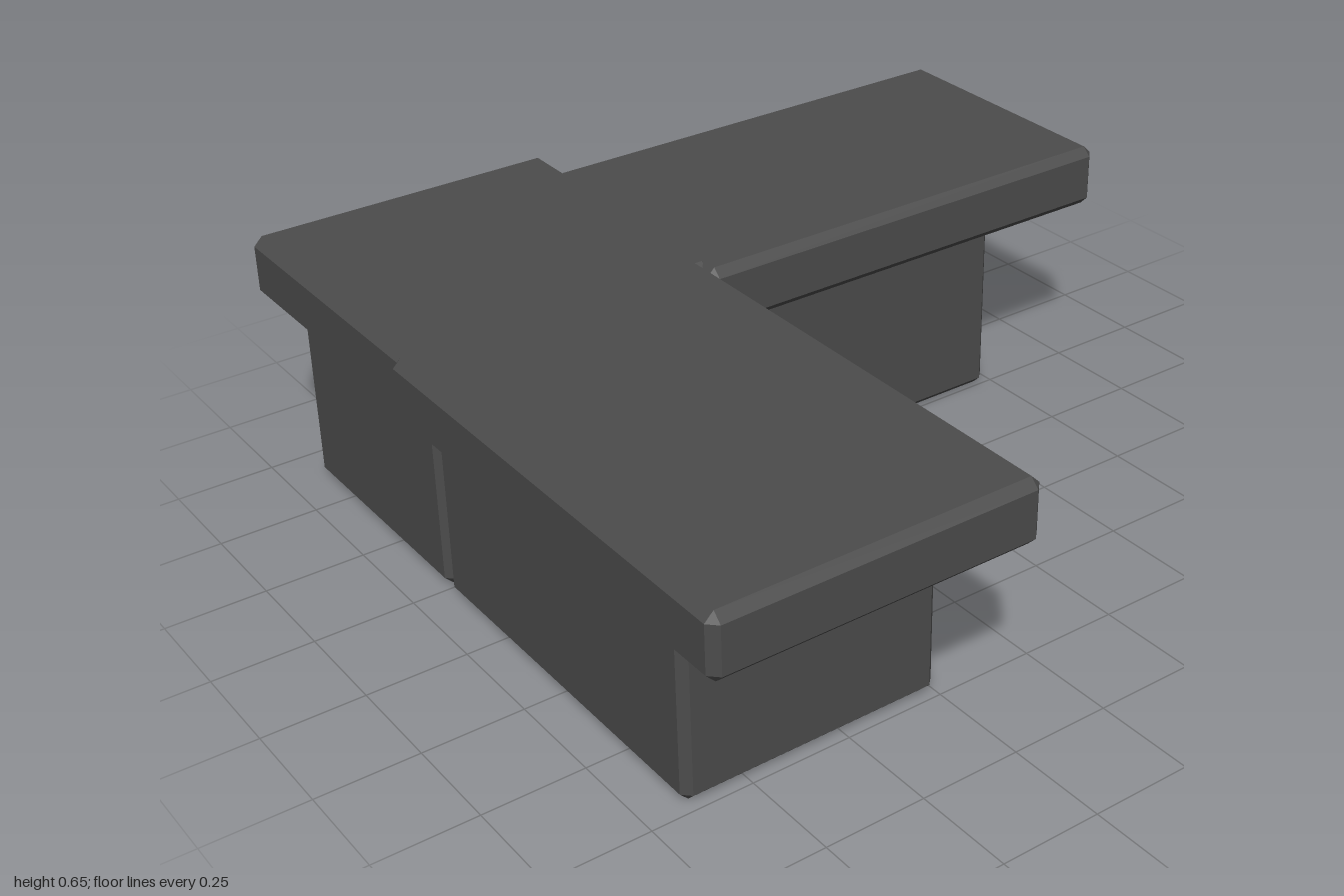
import * as THREE from 'three';
import { ConvexGeometry } from 'three/addons/geometries/ConvexGeometry.js';

const material = (name, color) => {
  const m = new THREE.MeshStandardMaterial({ color });
  m.name = name;
  return m;
};

// Box with every edge chamfered, given by its minimum and maximum corners
function chamferedBox(min, max, c) {
  const points = [];
  for (const i of [0, 1]) for (const j of [0, 1]) for (const k of [0, 1]) {
    const side = [i, j, k];
    for (let flush = 0; flush < 3; flush++) {
      points.push(new THREE.Vector3(...side.map((s, axis) => {
        const inset = axis === flush ? 0 : c;
        return s ? max[axis] - inset : min[axis] + inset;
      })));
    }
  }
  return new ConvexGeometry(points);
}

export function createModel() {
  const model = new THREE.Group();
  model.name = 'cornerCounter';

  const darkGrey = material('darkGrey', 0x4c4c4c);
  const teal = material('teal', 0x0c655a);
  const beige = material('paleSage', 0x8f9a82);

  const add = (name, geometry, mat, parent = model) => {
    const mesh = new THREE.Mesh(geometry, mat);
    mesh.name = name;
    parent.add(mesh);
    return mesh;
  };

  // Cabinets: corner block and two arms
  const cabinets = {
    cornerCabinet: [-0.905, -0.245, -0.91, -0.25],
    frontArmCabinet: [-0.905, -0.245, -0.245, 0.73],
    sideArmCabinet: [-0.24, 0.73, -0.91, -0.25],
  };
  for (const [name, [x0, x1, z0, z1]] of Object.entries(cabinets)) {
    add(name, chamferedBox([x0, 0, z0], [x1, 0.495, z1], 0.02), darkGrey);
  }

  // Worktop slabs, overlapping at the corner
  const slabs = {
    cornerWorktop: [-0.98, -0.17, -0.99, -0.2],
    frontArmWorktop: [-1, -0.19, -0.25, 0.985],
    sideArmWorktop: [-0.21, 1, -0.87, -0.155],
  };
  for (const [name, [x0, x1, z0, z1]] of Object.entries(slabs)) {
    add(name, chamferedBox([x0, 0.49, z0], [x1, 0.65, z1], 0.022), darkGrey);
  }

  // Checkered tile bands along the outer faces of both arms
  const count = 7, start = -0.24, length = 0.97, tile = length / count;
  const backBand = new THREE.Group();
  backBand.name = 'backTileBand';
  const sideBand = new THREE.Group();
  sideBand.name = 'sideTileBand';
  model.add(backBand, sideBand);
  for (let i = 0; i < count; i++) {
    const along = start + (i + 0.5) * tile;
    const mat = i % 2 ? beige : teal;
    add('backTile', new THREE.BoxGeometry(tile, 0.09, 0.009), mat, backBand)
      .position.set(along, 0.445, -0.912);
    add('sideTile', new THREE.BoxGeometry(0.009, 0.09, tile), mat, sideBand)
      .position.set(-0.907, 0.445, along);
  }

  return model;
}
